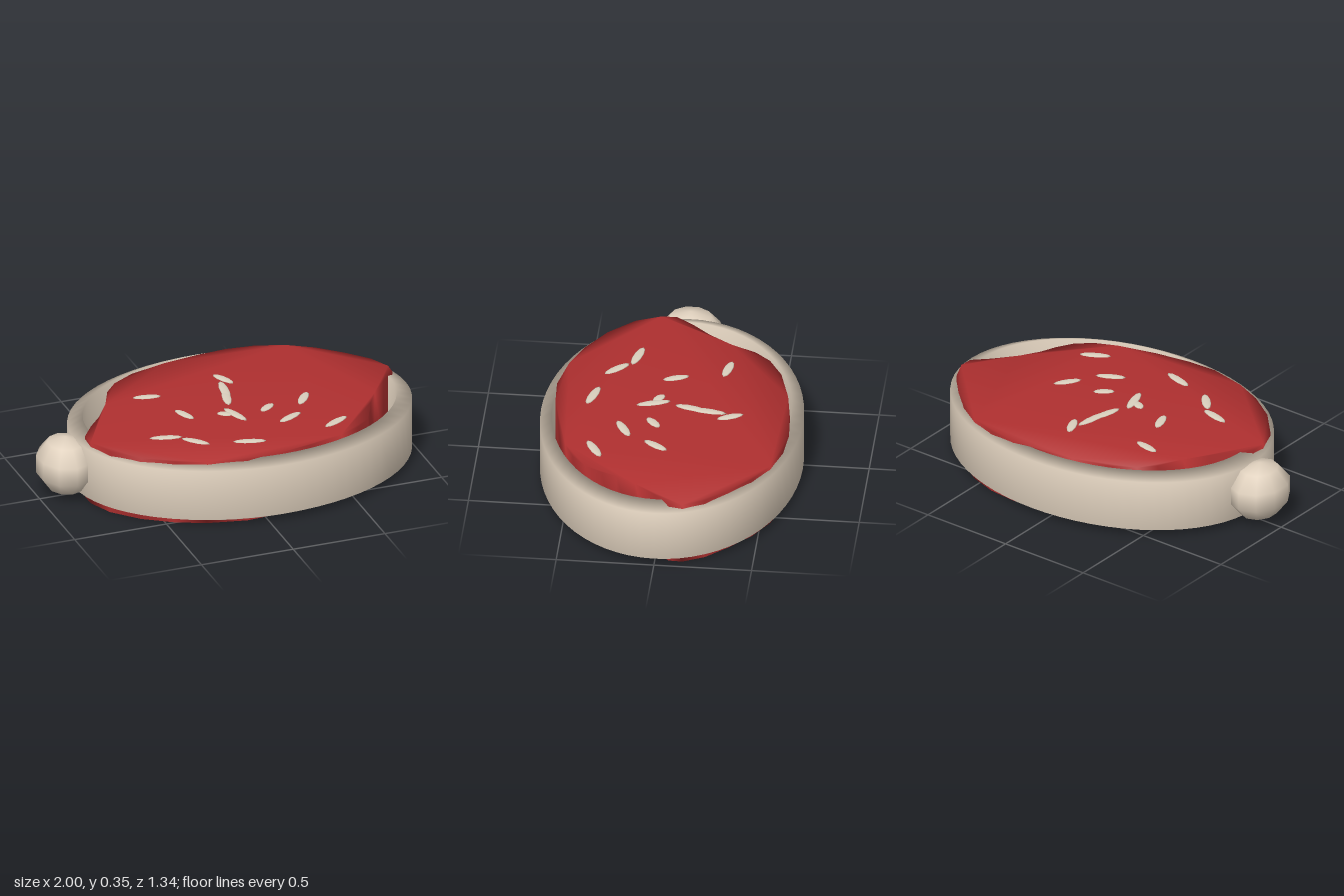
import * as THREE from 'three';
import { mergeVertices } from 'three/addons/utils/BufferGeometryUtils.js';

export function createModel() {
  const steak = new THREE.Group();
  steak.name = 'steak';

  const material = (name, color) => {
    const m = new THREE.MeshStandardMaterial({ color });
    m.name = name;
    return m;
  };
  const fat = material('fat', 0xe0d1be);
  const meat = material('meat', 0xb03030);
  const marble = material('marbling', 0xdad0be);

  const add = (name, geometry, mat) => {
    const mesh = new THREE.Mesh(geometry, mat);
    mesh.name = name;
    steak.add(mesh);
    return mesh;
  };

  // Oval fat rim: chamfered band, stretched along x
  const band = [[0.61, 0.003], [0.67, 0.036], [0.67, 0.312], [0.61, 0.345], [0.61, 0.003]]
    .map(([r, y]) => new THREE.Vector2(r, y));
  const rim = new THREE.LatheGeometry(band, 64);
  rim.scale(0.905 / 0.67, 1, 1);
  rim.translate(0.09, 0, 0);
  add('fatRim', rim, fat);

  // Meat slab: irregular outline in x and z, with softened normals
  const outline = [
    [-0.775, 0.06], [-0.775, 0.14], [-0.72, 0.27], [-0.6, 0.4], [-0.45, 0.5], [-0.3, 0.565],
    [-0.1, 0.608], [0.05, 0.6], [0.25, 0.565], [0.45, 0.51], [0.56, 0.46], [0.64, 0.39],
    [0.69, 0.3], [0.72, 0.22], [0.78, 0.12], [0.87, 0.01], [0.95, -0.07], [0.953, -0.14],
    [0.9, -0.25], [0.8, -0.36], [0.68, -0.47], [0.55, -0.55], [0.4, -0.6], [0.25, -0.615],
    [0.1, -0.605], [-0.1, -0.575], [-0.3, -0.52], [-0.42, -0.45], [-0.49, -0.37],
    [-0.55, -0.24], [-0.63, -0.12], [-0.71, -0.03],
  ].map(([x, z]) => new THREE.Vector2(x, z));
  let slab = new THREE.ExtrudeGeometry(new THREE.Shape(outline), { depth: 0.345, bevelEnabled: false });
  slab.rotateX(Math.PI / 2);
  slab.translate(0, 0.345, 0);
  slab.deleteAttribute('normal');
  slab.deleteAttribute('uv');
  slab = mergeVertices(slab);
  slab.computeVertexNormals();
  add('meatSlab', slab, meat);

  // Bone: faceted outline knob outside the rim, shaft running into the meat
  const knob = new THREE.SphereGeometry(1, 10, 5);
  knob.rotateY(Math.PI / 10);
  knob.scale(0.155, 0.155, 0.182);
  knob.translate(-0.86, 0.175, 0);
  add('boneKnob', knob, fat);
  const shaft = new THREE.CylinderGeometry(0.1, 0.1, 0.4, 10);
  shaft.rotateZ(Math.PI / 2);
  shaft.translate(-0.65, 0.175, 0);
  add('boneShaft', shaft, fat);

  // Marbling: thin flecks on the top, each given by its two ends (x, z)
  const flecks = [
    [0.085, -0.365, 0.145, -0.235], [-0.395, -0.26, -0.25, -0.23],
    [0.09, -0.28, 0.06, -0.075], [0.075, -0.18, 0.035, -0.01],
    [-0.24, -0.055, -0.19, 0.075], [-0.055, 0.055, 0.015, 0.1],
    [0, 0.015, 0.055, 0.187], [0.165, 0.118, 0.25, 0.05],
    [0.375, 0.112, 0.46, -0.01], [-0.48, 0.203, -0.315, 0.245],
    [-0.325, 0.26, -0.215, 0.375], [0.208, 0.267, 0.347, 0.193],
    [-0.096, 0.39, 0.07, 0.438], [0.406, 0.4, 0.55, 0.32],
  ];
  for (const [x0, z0, x1, z1] of flecks) {
    const g = new THREE.SphereGeometry(1, 10, 6);
    g.scale(Math.hypot(x1 - x0, z1 - z0) / 2, 0.006, 0.024);
    g.rotateY(-Math.atan2(z1 - z0, x1 - x0));
    g.translate((x0 + x1) / 2, 0.345, (z0 + z1) / 2);
    add('marblingFleck', g, marble);
  }

  return steak;
}
